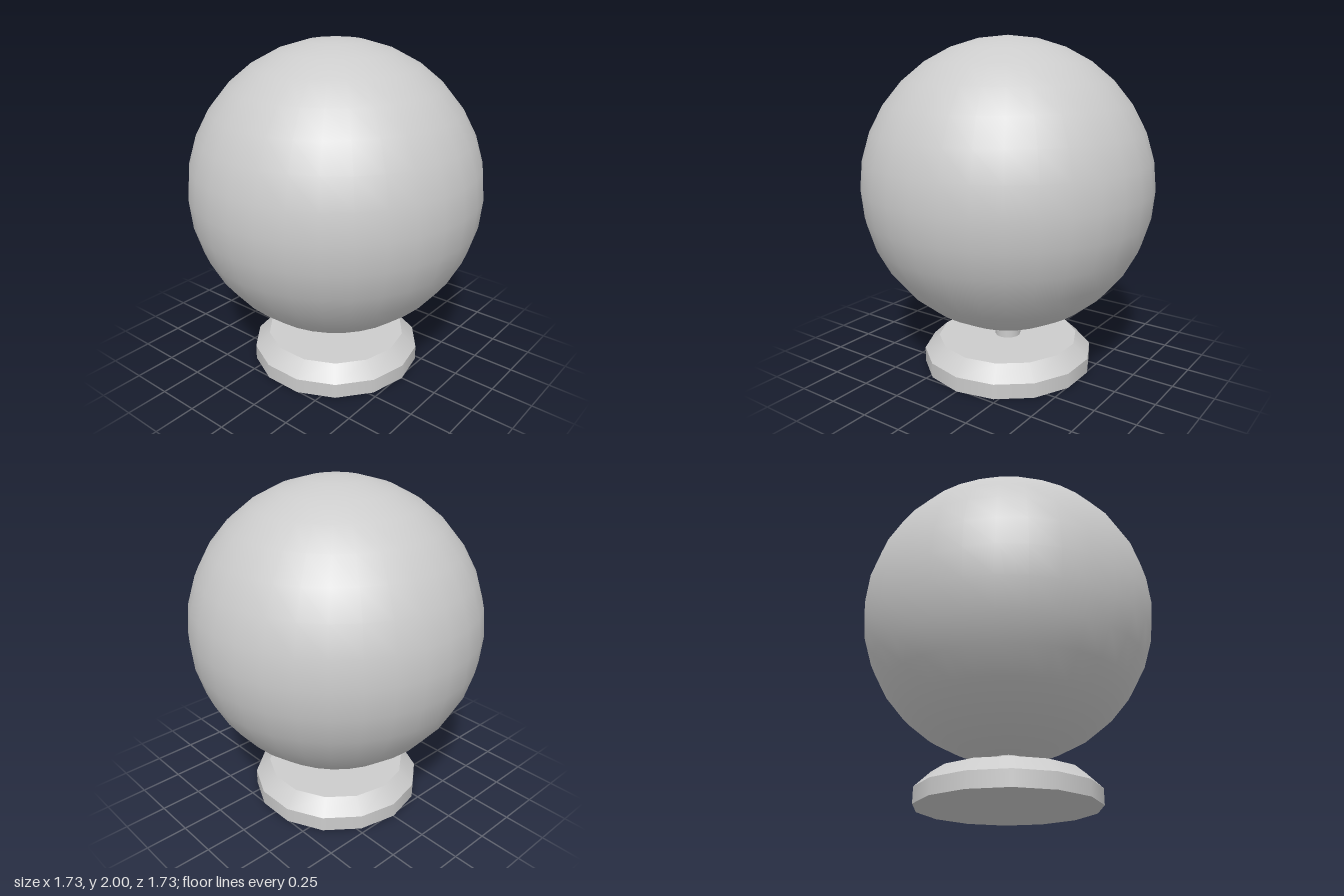
import * as THREE from 'three';

const SIDES = 14;

export function createModel() {
  const model = new THREE.Group();
  const material = new THREE.MeshStandardMaterial({ color: 0xcccccc });

  const add = (name, geometry, y) => {
    const mesh = new THREE.Mesh(geometry, material);
    mesh.name = name;
    mesh.position.y = y;
    model.add(mesh);
  };

  // Round upright section between two heights, with a corner on the x axis
  const section = (name, bottomRadius, topRadius, y0, y1) => {
    const geometry = new THREE.CylinderGeometry(topRadius, bottomRadius, y1 - y0, SIDES);
    add(name, geometry.rotateY(Math.PI / 2), (y0 + y1) / 2);
  };

  // Stand: flat foot, bevelled top and short stem running into the ball
  section('baseFoot', 0.52, 0.52, 0, 0.09);
  section('baseBevel', 0.52, 0.43, 0.09, 0.175);
  section('stem', 0.078, 0.078, 0.175, 0.32);

  // Large ball
  add('globe', new THREE.SphereGeometry(0.865, 32, 16), 1.135);

  return model;
}
